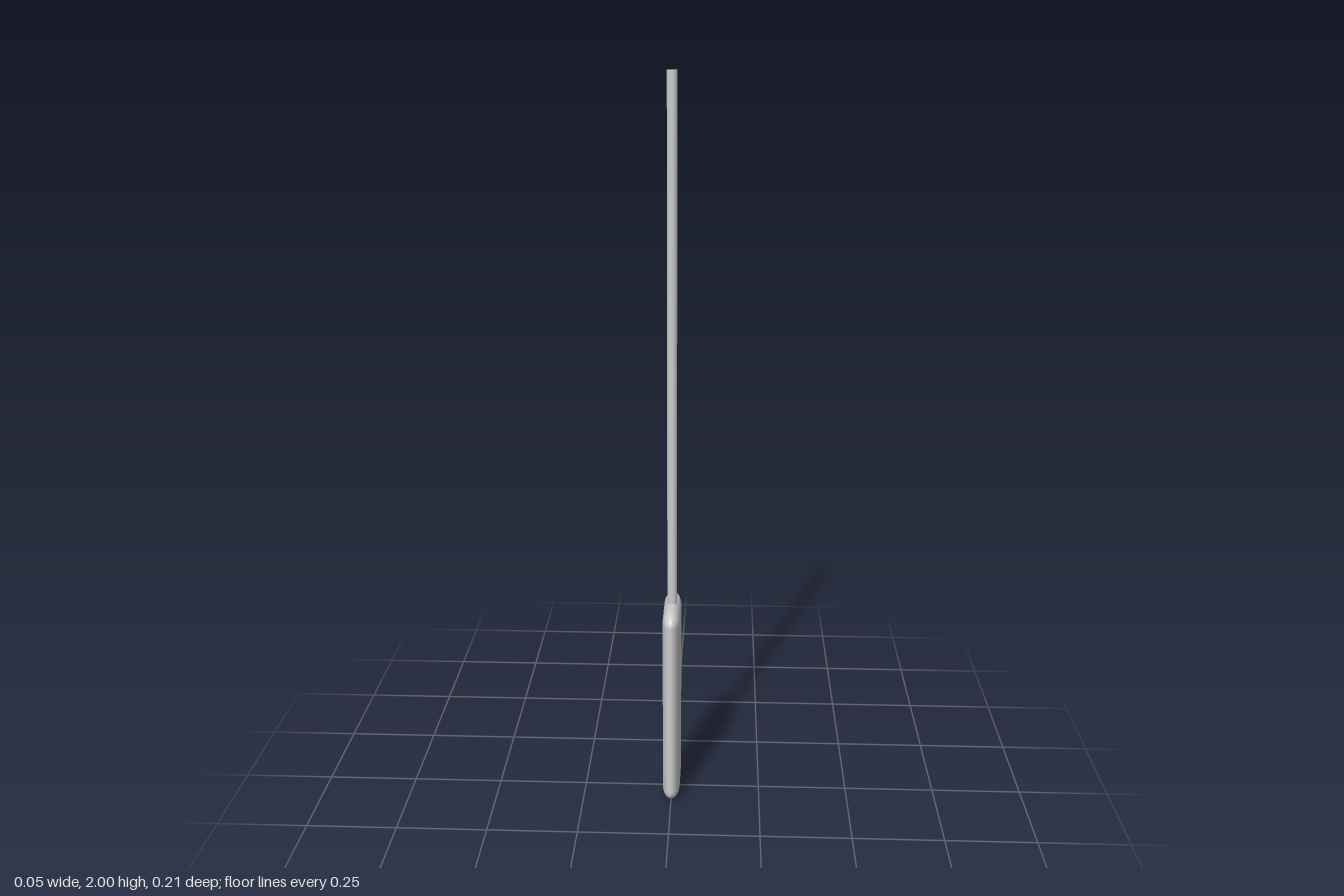
import * as THREE from 'three';
import { RoundedBoxGeometry } from 'three/addons/geometries/RoundedBoxGeometry.js';

export function createModel() {
  const group = new THREE.Group();
  const material = new THREE.MeshStandardMaterial({ color: 0xcccccc });

  const add = (name, geometry, y) => {
    const mesh = new THREE.Mesh(geometry, material);
    mesh.name = name;
    mesh.position.y = y;
    group.add(mesh);
  };

  // Flat blade: a pill-edged slab squashed so its rims become soft ellipses
  const height = 0.58, depth = 0.21, thickness = 0.048, radius = 0.05, squash = 0.7;
  const blade = new RoundedBoxGeometry(radius * 2, height / squash, depth, 8, radius);
  blade.scale(thickness / (radius * 2), squash, 1);
  add('blade', blade, height / 2);

  // Slim round handle, sunk into the top of the blade
  const bottom = 0.5, top = 2;
  add('handle', new THREE.CylinderGeometry(0.0133, 0.0133, top - bottom, 32), (top + bottom) / 2);

  return group;
}
